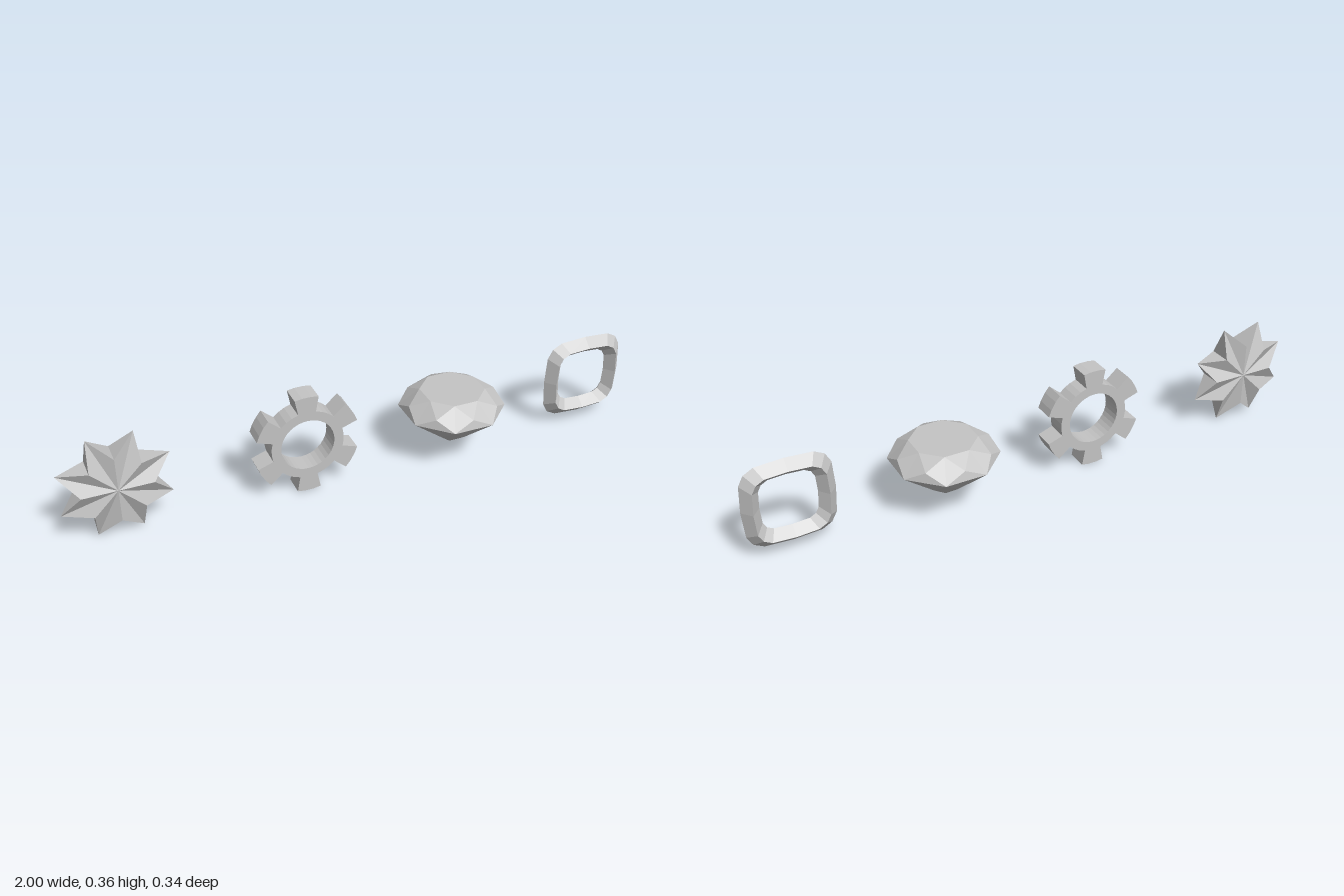
import * as THREE from 'three';

const TAU = Math.PI * 2;

// Faceted mesh from a list of polygons, each a convex loop of [x, y, z] corners
function facets(name, polygons, material) {
  const pos = [];
  for (const p of polygons)
    for (let i = 1; i < p.length - 1; i++) pos.push(...p[0], ...p[i], ...p[i + 1]);
  const geo = new THREE.BufferGeometry();
  geo.setAttribute('position', new THREE.Float32BufferAttribute(pos, 3));
  geo.computeVertexNormals();
  const mesh = new THREE.Mesh(geo, material);
  mesh.name = name;
  return mesh;
}

// Eight-pointed star: thick at the valleys, sharp at the tips
function makeStar(material) {
  const n = 8, tipR = 0.193, valleyR = 0.115, h = 0.04;
  const at = (k, r, z) => [r * Math.cos(k * TAU / (2 * n)), r * Math.sin(k * TAU / (2 * n)), z];
  const polys = [];
  for (let k = 0; k < 2 * n; k += 2) {
    const tip = at(k + 1, tipR, 0);
    const [a, b] = [at(k, valleyR, h), at(k + 2, valleyR, h)];
    const [c, d] = [at(k, valleyR, -h), at(k + 2, valleyR, -h)];
    polys.push([[0, 0, h], a, tip], [[0, 0, h], tip, b]);
    polys.push([[0, 0, -h], tip, c], [[0, 0, -h], d, tip]);
    polys.push([a, c, tip], [b, tip, d]);
  }
  return facets('star', polys, material);
}

// Six-toothed gear ring with slightly flared teeth
function makeGear(material) {
  const teeth = 6, bodyR = 0.125, tipR = 0.18, depth = 0.072;
  const pts = [];
  const add = (r, deg) => {
    const a = THREE.MathUtils.degToRad(deg);
    pts.push(new THREE.Vector2(r * Math.cos(a), r * Math.sin(a)));
  };
  for (let i = 0; i < teeth; i++) {
    const c = 30 + i * 60;
    add(bodyR, c - 14);
    for (const off of [-13, -5, 5, 13]) add(tipR, c + off);
    add(bodyR, c + 14);
    add(bodyR, c + 25);
    add(bodyR, c + 35);
  }
  const shape = new THREE.Shape(pts);
  const hole = [];
  for (let i = 0; i < 36; i++)
    hole.push(new THREE.Vector2(0.092 * Math.cos(i * TAU / 36), 0.092 * Math.sin(i * TAU / 36)));
  shape.holes.push(new THREE.Path(hole));
  const geo = new THREE.ExtrudeGeometry(shape, { depth, bevelEnabled: false });
  geo.translate(0, 0, -depth / 2);
  const mesh = new THREE.Mesh(geo, material);
  mesh.name = 'gear';
  return mesh;
}

// Brilliant-cut gem: table, crown kites, girdle and pavilion kites
function makeGem(material) {
  const n = 8;
  const ring = (r, y, shift) => i => {
    const a = (i + shift) * TAU / n;
    return [r * Math.sin(a), y, r * Math.cos(a)];
  };
  const table = ring(0.111, 0.063, 0.5);
  const crown = ring(0.16, 0.0315, 0);
  const girdle = ring(0.182, 0, 0.5);
  const pavilion = ring(0.1, -0.072, 0);
  const culet = [0, -0.15, 0];
  const polys = [Array.from({ length: n }, (_, i) => table(i))];
  for (let i = 0; i < n; i++) {
    polys.push([table(i - 1), crown(i), table(i)]);
    polys.push([girdle(i), crown(i + 1), table(i), crown(i)]);
    polys.push([girdle(i - 1), girdle(i), crown(i)]);
    polys.push([girdle(i - 1), pavilion(i), girdle(i)]);
    polys.push([culet, pavilion(i + 1), girdle(i), pavilion(i)]);
  }
  return facets('gem', polys, material);
}

// Rounded-square ring with a diamond cross-section
function makeSquareRing(material) {
  const n = 16;
  const root = v => Math.sign(v) * Math.sqrt(Math.abs(v) < 1e-9 ? 0 : Math.abs(v));
  const section = [[0.15, 0], [0.12, 0.034], [0.092, 0], [0.12, -0.034]];
  const at = (i, j) => {
    const a = i * TAU / n, [r, z] = section[j % 4];
    return [r * root(Math.cos(a)), r * root(Math.sin(a)), z];
  };
  const polys = [];
  for (let i = 0; i < n; i++)
    for (let j = 0; j < 4; j++)
      polys.push([at(i, j), at(i + 1, j), at(i + 1, j + 1), at(i, j + 1)]);
  return facets('squareRing', polys, material);
}

export function createModel() {
  const grey = new THREE.MeshStandardMaterial({ color: 0xc4c4c4, flatShading: true });
  grey.name = 'grey';
  const group = new THREE.Group();
  group.name = 'shapeSet';
  const parts = [[makeStar, -0.822], [makeGear, -0.2], [makeGem, 0.336], [makeSquareRing, 0.85]];
  for (const [make, x] of parts) {
    const mesh = make(grey);
    mesh.position.set(x, 0.18, 0);
    group.add(mesh);
  }
  return group;
}
